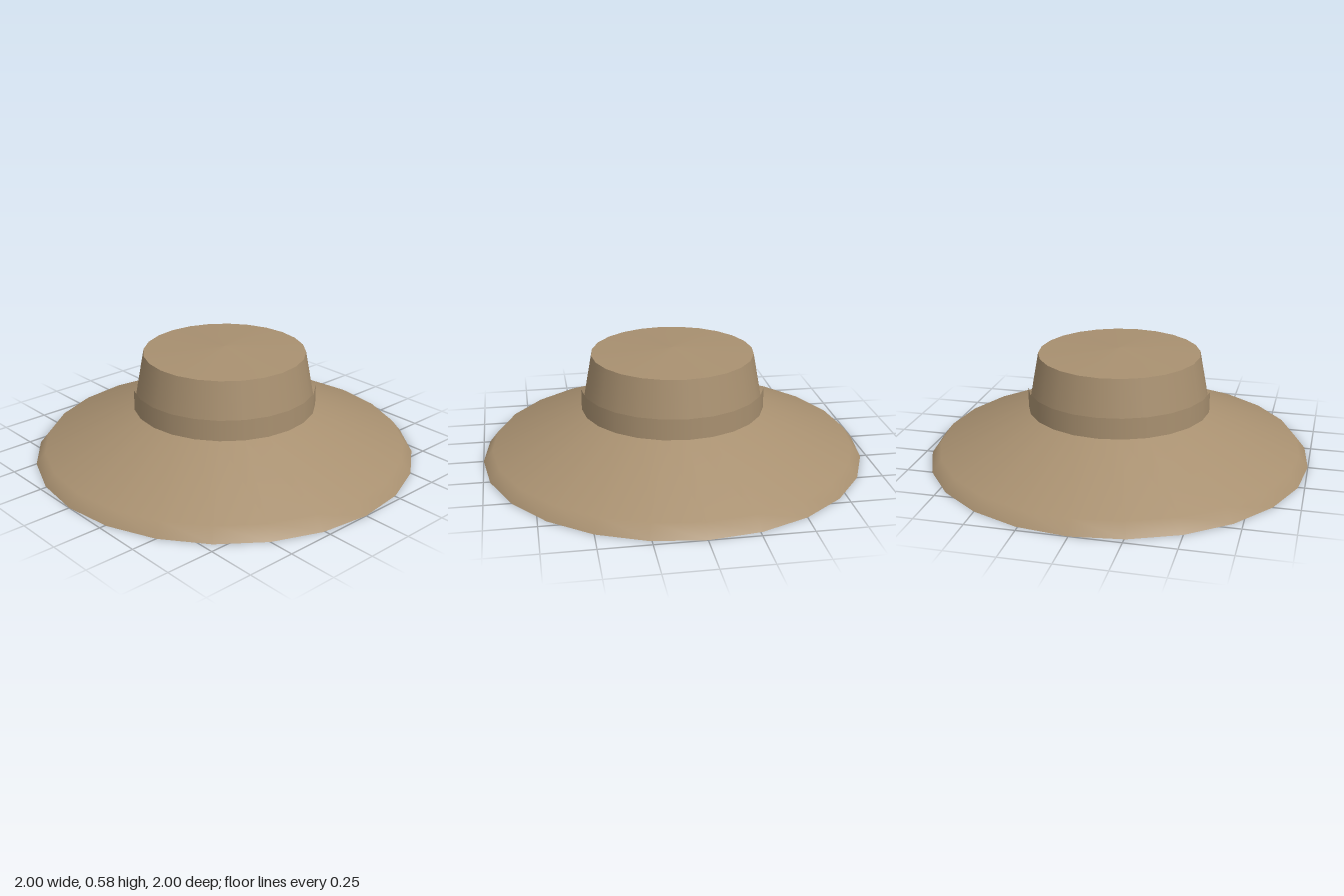
import * as THREE from 'three';

const SIDES = 24;

export function createModel() {
  const hat = new THREE.Group();
  hat.name = 'hat';
  const felt = new THREE.MeshStandardMaterial({ color: 0xa89070 });
  felt.name = 'tan felt';

  // Each part is turned from a [radius, height] profile, listed bottom to top
  const turn = (name, profile) => {
    const points = profile.map(([r, y]) => new THREE.Vector2(r, y));
    const mesh = new THREE.Mesh(new THREE.LatheGeometry(points, SIDES), felt);
    mesh.name = name;
    hat.add(mesh);
  };

  // Flat underside closing the brim
  turn('underside', [[0, 0], [1, 0]]);
  // Sloping brim with a steeper outer lip
  turn('brim', [[1, 0], [0.95, 0.063], [0.476, 0.262]]);
  // Straight open band around the foot of the crown
  turn('band', [[0.478, 0.26], [0.478, 0.37]]);
  // Tapering crown wall
  turn('crown', [[0.476, 0.26], [0.422, 0.553]]);
  // Shallow cone on top
  turn('crownTop', [[0.422, 0.553], [0, 0.578]]);

  return hat;
}
